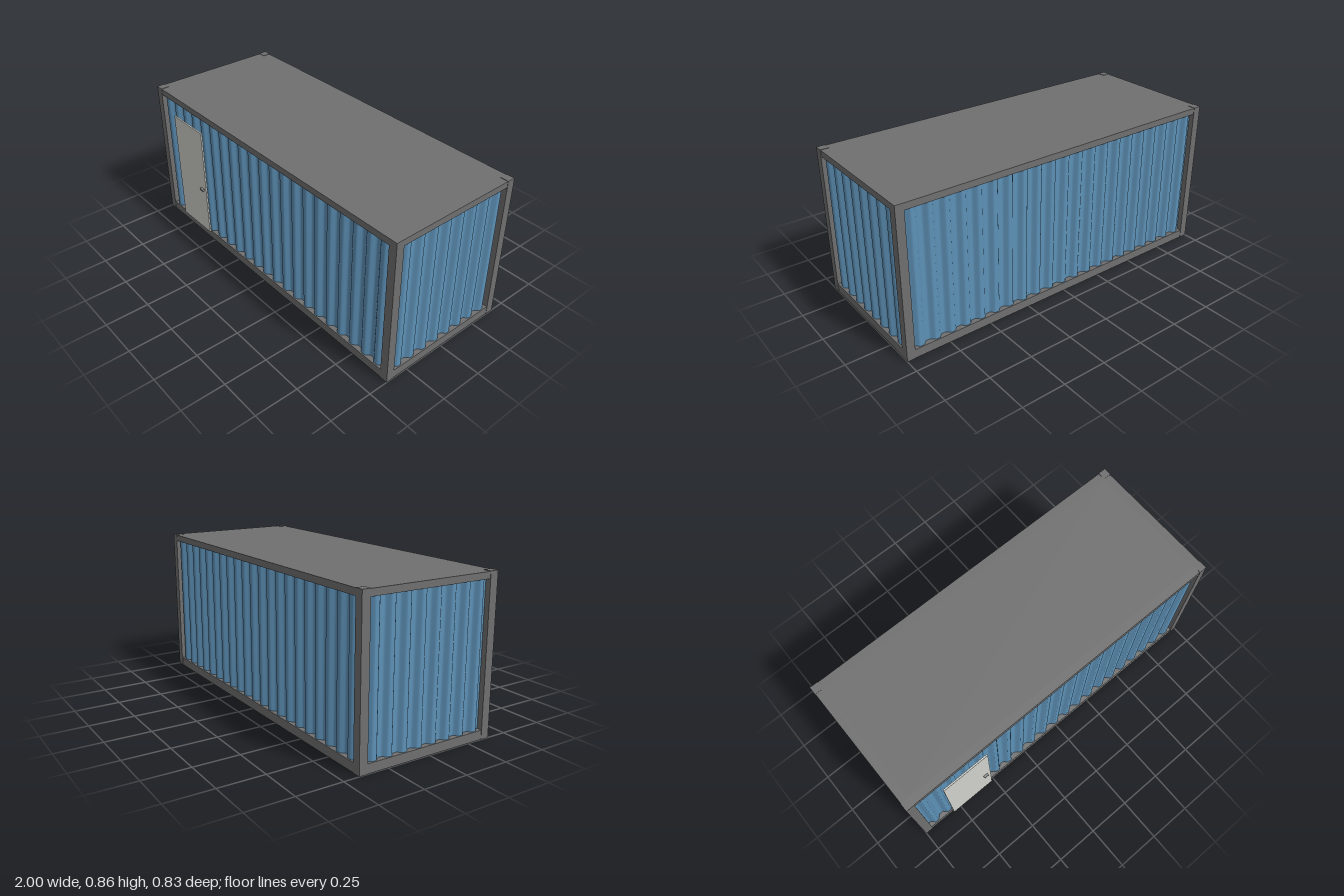
import * as THREE from 'three';

const mat = (name, color, side = THREE.FrontSide) => {
  const m = new THREE.MeshStandardMaterial({ color, side });
  m.name = name;
  return m;
};

export function createModel() {
  const frameGrey = mat('frame grey', 0x707070);
  const wallBlue = mat('wall blue', 0x5e92b8, THREE.DoubleSide);
  const doorWhite = mat('door off-white', 0xd2d2cd);
  const handleGrey = mat('handle grey', 0x8c8c8c);

  const model = new THREE.Group();
  model.name = 'container';
  const body = new THREE.Group();
  body.name = 'body';
  body.position.z = -0.0135;
  model.add(body);

  const W = 2, H = 0.857, D = 0.803; // outer size
  const P = 0.047, BOTTOM = 0.05, TOP = 0.036, IN = 0.002; // post, rails, rail inset

  const box = (parent, name, material, w, h, d, x, y, z) => {
    const mesh = new THREE.Mesh(new THREE.BoxGeometry(w, h, d), material);
    mesh.name = name;
    mesh.position.set(x, y, z);
    parent.add(mesh);
    return mesh;
  };

  // Corner posts, standing slightly proud of the rails
  for (const sx of [-1, 1]) for (const sz of [-1, 1]) {
    box(body, 'cornerPost', frameGrey, P, H, P, sx * (W - P) / 2, H / 2, sz * (D - P) / 2);
  }

  // Bottom and top rails on all four sides
  for (const [name, h, y] of [['bottomRail', BOTTOM, BOTTOM / 2], ['topRail', TOP, H - IN - TOP / 2]]) {
    for (const s of [-1, 1]) {
      box(body, name, frameGrey, W - 2 * P, h, P, 0, y, s * ((D - P) / 2 - IN));
      box(body, name, frameGrey, P, h, D - 2 * P, s * ((W - P) / 2 - IN), y, 0);
    }
  }

  // Roof and floor panels
  box(body, 'roof', frameGrey, W - 2 * P, 0.02, D - 2 * P, 0, H - IN - 0.01, 0);
  box(body, 'floor', frameGrey, W - 2 * P, 0.02, D - 2 * P, 0, 0.01, 0);

  // Corrugated wall: a plane pushed in and out by a flattened wave
  const wall = (name, length, waves, distance, angle) => {
    const h = H - BOTTOM - TOP + 0.03;
    const geo = new THREE.PlaneGeometry(length, h, waves * 16, 1);
    const pos = geo.attributes.position;
    for (let i = 0; i < pos.count; i++) {
      const t = (pos.getX(i) / length + 0.5) * waves * Math.PI * 2;
      pos.setZ(i, 0.011 * THREE.MathUtils.clamp(-1.4 * Math.cos(t), -1, 1));
    }
    geo.computeVertexNormals();
    const mesh = new THREE.Mesh(geo, wallBlue);
    mesh.name = name;
    mesh.rotation.y = angle;
    mesh.position.set(Math.sin(angle) * distance, BOTTOM - 0.015 + h / 2, Math.cos(angle) * distance);
    body.add(mesh);
  };
  const recess = 0.02;
  wall('frontWall', W - 2 * P, 21, D / 2 - recess, 0);
  wall('backWall', W - 2 * P, 21, D / 2 - recess, Math.PI);
  wall('leftWall', D - 2 * P, 8, W / 2 - recess, Math.PI / 2);
  wall('rightWall', D - 2 * P, 8, W / 2 - recess, -Math.PI / 2);

  // Door leaf in front of the wall, with a small handle
  box(model, 'door', doorWhite, 0.28, 0.685, 0.009, -0.661, 0.402, 0.4005);
  box(model, 'doorHandle', handleGrey, 0.028, 0.013, 0.013, -0.555, 0.355, 0.4115);

  return model;
}
